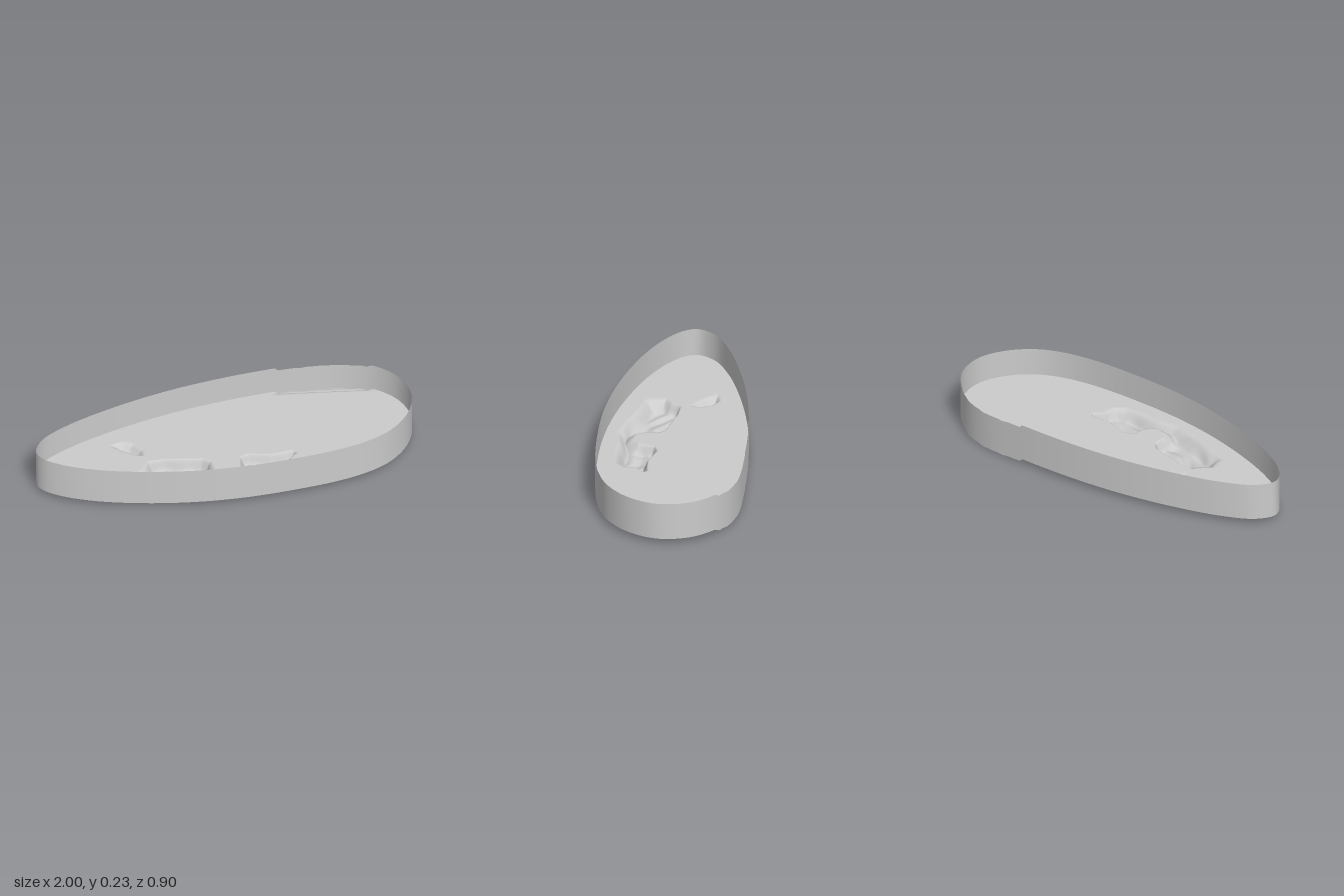
import * as THREE from 'three';

const SEG = 260, RINGS = 110, FLOOR = 0.08;
const { smoothstep, lerp } = THREE.MathUtils;

// Egg-shaped plan outline, as [x, z]
const OUTLINE = [
  [-1, 0.22], [-0.96, 0.12], [-0.83, 0.01], [-0.6, -0.12], [-0.3, -0.25], [0, -0.345], [0.33, -0.42],
  [0.57, -0.454], [0.72, -0.438], [0.85, -0.38], [0.95, -0.28], [1, -0.13], [0.965, 0.03], [0.87, 0.165],
  [0.75, 0.25], [0.58, 0.32], [0.3, 0.39], [0.05, 0.432], [-0.2, 0.448], [-0.45, 0.438], [-0.7, 0.4],
  [-0.88, 0.34], [-0.97, 0.28],
];

// Edges of the sunken areas of the floor, as [x, z]
const LARGE_PIT = [
  [-0.4, 0.14], [-0.32, 0.13], [-0.12, 0.14], [-0.08, 0.17], [-0.06, 0.24], [-0.03, 0.275], [0.03, 0.275],
  [0.07, 0.23], [0.075, 0.14], [0.12, 0.115], [0.24, 0.13], [0.36, 0.1], [0.38, 0.125], [0.34, 0.17],
  [0.35, 0.24], [0.31, 0.3], [0.2, 0.33], [0.08, 0.35], [-0.02, 0.385], [-0.18, 0.375], [-0.3, 0.355],
  [-0.43, 0.35], [-0.45, 0.29], [-0.47, 0.24], [-0.43, 0.2],
];
const SMALL_PIT = [
  [-0.6, -0.01], [-0.53, -0.04], [-0.47, -0.02], [-0.42, 0.04], [-0.42, 0.1], [-0.47, 0.085], [-0.54, 0.045],
];

// Distance from a point to the edge of a polygon, or 0 outside it
function depthInside(poly, x, z) {
  let inside = false, best = Infinity;
  poly.forEach(([ax, az], i) => {
    const [bx, bz] = poly[(i + 1) % poly.length];
    if ((az > z) !== (bz > z) && x < ax + (z - az) / (bz - az) * (bx - ax)) inside = !inside;
    const dx = bx - ax, dz = bz - az;
    const t = Math.min(1, Math.max(0, ((x - ax) * dx + (z - az) * dz) / (dx * dx + dz * dz)));
    best = Math.min(best, Math.hypot(x - ax - t * dx, z - az - t * dz));
  });
  return inside ? best : 0;
}

// Ragged sag along the back edge, shared by wall and floor
function backSag(x, z) {
  const mask = smoothstep(x, 0.3, 0.325) * (1 - smoothstep(x, 0.78, 0.82));
  const ragged = 0.0015 * Math.sin(x * 47) + 0.001 * Math.sin(x * 90);
  return mask * (smoothstep(-z, 0.385, 0.418) * (0.018 + ragged) + smoothstep(-z, 0.425, 0.455) * 0.007);
}

// Floor height with steep back edges and gentle front slopes in the pits
function floorHeight(x, z) {
  const slope = lerp(0.03, 0.085, smoothstep(z, 0.17, 0.34));
  const large = smoothstep(depthInside(LARGE_PIT, x, z), 0, slope);
  const ripple = 0.005 * Math.sin(z * 75 + 6 * Math.sin(x * 9)) + 0.003 * Math.sin(x * 38);
  const small = smoothstep(depthInside(SMALL_PIT, x, z), 0, 0.045);
  return FLOOR - backSag(x, z) - large * (0.057 + ripple) - small * 0.038;
}

function buildMesh(name, positions, index, material) {
  const geometry = new THREE.BufferGeometry();
  geometry.setAttribute('position', new THREE.Float32BufferAttribute(positions, 3));
  geometry.setIndex(index);
  geometry.computeVertexNormals();
  const mesh = new THREE.Mesh(geometry, material);
  mesh.name = name;
  return mesh;
}

export function createModel() {
  const group = new THREE.Group();
  group.name = 'ovalTray';
  const material = new THREE.MeshStandardMaterial({ color: 0xcccccc, side: THREE.DoubleSide });
  const curve = new THREE.CatmullRomCurve3(OUTLINE.map(([x, z]) => new THREE.Vector3(x, 0, z)), true);
  const rim = curve.getSpacedPoints(SEG).slice(0, SEG);

  // Thin upright wall, running above and below the floor
  const wallPos = [], wallIndex = [];
  const levels = [0.028, FLOOR, 0.232];
  levels.forEach((y, r) => rim.forEach((p, i) => {
    wallPos.push(p.x, y - backSag(p.x, p.z), p.z);
    if (r === levels.length - 1) return;
    const a = r * SEG + i, b = r * SEG + (i + 1) % SEG;
    wallIndex.push(a, a + SEG, b + SEG, a, b + SEG, b);
  }));
  group.add(buildMesh('wall', wallPos, wallIndex, material));

  // Floor of concentric outline rings, pressed down into the pits
  const floorPos = [0, floorHeight(0, 0), 0], floorIndex = [];
  for (let r = 1; r <= RINGS; r++) {
    rim.forEach((p, i) => {
      const x = p.x * r / RINGS, z = p.z * r / RINGS;
      floorPos.push(x, floorHeight(x, z), z);
      const j = (i + 1) % SEG, c = 1 + (r - 1) * SEG + i, d = 1 + (r - 1) * SEG + j;
      if (r === 1) floorIndex.push(0, d, c);
      else floorIndex.push(c - SEG, d, c, c - SEG, d - SEG, d);
    });
  }
  group.add(buildMesh('floor', floorPos, floorIndex, material));

  return group;
}
